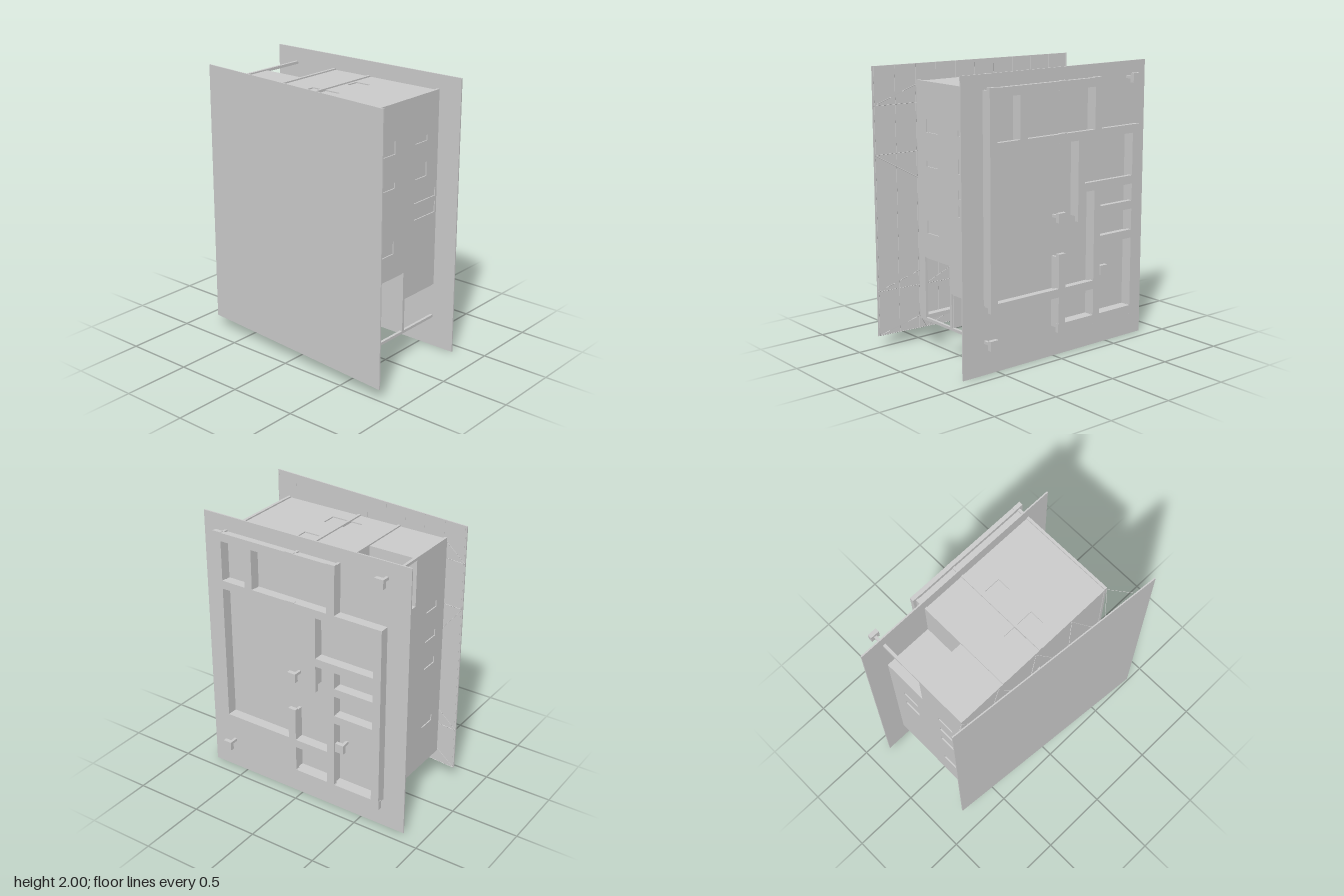
import * as THREE from 'three';

const T = 0.02;                       // wall thickness
const ROOF = -0.48, FLOOR = 0.31, MID = -0.06;

export function createModel() {
  const root = new THREE.Group();
  const mat = new THREE.MeshStandardMaterial({ color: 0xcccccc, flatShading: true, side: THREE.DoubleSide });
  const add = (name, geo) => {
    const m = new THREE.Mesh(geo, mat);
    m.name = name;
    root.add(m);
    return m;
  };
  // Box given by its extents
  const box = (name, x0, x1, y0, y1, z0, z1) => {
    const m = add(name, new THREE.BoxGeometry(x1 - x0, y1 - y0, z1 - z0));
    m.position.set((x0 + x1) / 2, (y0 + y1) / 2, (z0 + z1) / 2);
    return m;
  };
  const path = (P, a, b, c, d) => {
    const p = new P();
    p.moveTo(a, c); p.lineTo(b, c); p.lineTo(b, d); p.lineTo(a, d); p.closePath();
    return p;
  };
  // Wall with windows [centre, width, z centre, z size]; axis is its normal
  const wall = (name, axis, at, from, to, z0, z1, windows = []) => {
    const order = (u0, u1, v0, v1) => axis === 'x' ? [u0, u1, v0, v1] : [v0, v1, u0, u1];
    const shape = path(THREE.Shape, ...order(from, to, z0, z1));
    const X = new THREE.Vector3(1, 0, 0), Y = new THREE.Vector3(0, 1, 0), Z = new THREE.Vector3(0, 0, 1);
    const basis = new THREE.Matrix4();
    if (axis === 'x') basis.makeBasis(Y, Z, X); else basis.makeBasis(Z, X, Y);
    for (const [c, w, zc, h] of windows) {
      const r = [c - w / 2, c + w / 2, zc - h / 2, zc + h / 2];
      shape.holes.push(path(THREE.Path, ...order(...r)));
      const e = 0.002;
      if (axis === 'x') box('windowPane', at - e, at + e, ...r);
      else box('windowPane', r[0], r[1], at - e, at + e, r[2], r[3]);
    }
    const geo = new THREE.ExtrudeGeometry(shape, { depth: T, bevelEnabled: false });
    geo.translate(0, 0, -T / 2).applyMatrix4(basis);
    if (axis === 'x') geo.translate(at, 0, 0); else geo.translate(0, at, 0);
    return add(name, geo);
  };

  // Large slab behind
  box('backSlab', -0.845, 0.785, 0, 2, -0.41, -0.4);

  // Long outer walls
  const low = 0.14, high = -0.21, s = 0.13;
  wall('leftWall', 'x', 0.6, 0.68, 1.89, ROOF, FLOOR, [
    [1.6, 0.09, low, s], [1.34, 0.04, low, s], [0.9, 0.09, low, s],
    [1.59, 0.04, high, s], [1.37, 0.1, high, s], [1.18, 0.06, -0.265, 0.24], [1.07, 0.08, -0.265, 0.24]]);
  wall('leftWallLowerPart', 'x', 0.6, 0.48, 0.68, ROOF, -0.04);
  box('openingSill', 0.59, 0.61, 0.22, 0.68, 0.24, FLOOR);
  box('openingLintel', 0.59, 0.61, 0.22, 0.48, MID, -0.04);
  wall('rightWall', 'x', -0.67, 0.23, 1.55, ROOF, FLOOR, [
    ...[1.46, 1.24, 1.03, 0.56].map(y => [y, 0.05, low, s]),
    ...[1.24, 1.05].map(y => [y, 0.05, high, s])]);
  wall('rightWallUpperPart', 'x', -0.67, 1.55, 1.89, -0.07, FLOOR);

  // Top and bottom walls
  wall('topWall', 'y', 1.88, -0.3, 0.6, ROOF, FLOOR, [[0.03, 0.24, 0.14, 0.11], [0.1, 0.12, -0.17, 0.1]]);
  wall('topWallCorner', 'y', 1.88, -0.67, -0.3, -0.07, FLOOR);
  wall('bottomWall', 'y', 0.24, -0.67, 0.01, ROOF, FLOOR,
    [-0.11, -0.48].flatMap(x => [[x, 0.12, low, 0.11], [x, 0.12, high, 0.11]]));
  box('porchBeam', 0.01, 0.6, 0.22, 0.25, 0.26, FLOOR);

  // Inner floors
  box('middleFloor', -0.67, 0.6, 0.24, 1.88, MID - 0.01, -0.04);
  box('groundFloor', -0.67, 0.6, 0.68, 1.88, 0.29, FLOOR - 0.005);
  box('groundFloorCorner', -0.67, 0.01, 0.24, 0.68, 0.29, FLOOR - 0.005);
  wall('porchWall', 'y', 0.68, 0, 0.6, MID, FLOOR);

  // Room walls as [axis, at, from, to]; all carry a coping, some go only through the upper storey
  const rooms = [
    ['y', 1.54, -0.67, 0.6], ['x', -0.31, 1.54, 1.89], ['x', 0.35, 1.54, 1.89],
    ['x', -0.16, 0.98, 1.54], ['y', 1.18, -0.67, -0.16], ['x', -0.31, 0.23, 1.18],
    ['y', 1.0, -0.67, -0.31], ['y', 0.79, -0.67, -0.31],
    ['x', 0.01, 0.23, 0.72], ['y', 0.48, -0.31, 0.6]];
  for (const [axis, at, from, to] of rooms)
    wall('roomWall', axis, at, from, to, ROOF, axis === 'y' && at === 0.48 ? MID : FLOOR - 0.01);

  // Copings over every wall top
  const outer = [['x', 0.6, 0.48, 1.89], ['y', 1.89, -0.31, 0.6], ['x', -0.67, 0.23, 1.54], ['y', 0.23, -0.67, 0.01]];
  for (const [axis, at, from, to] of [...rooms, ...outer]) {
    const c = 0.03;
    if (axis === 'x') box('coping', at - c, at + c, from - c, to + c, -0.51, ROOF);
    else box('coping', from - c, to + c, at - c, at + c, -0.51, ROOF);
  }

  // Posts running the full depth, with caps
  const posts = [[-0.67, 1.89], [-0.31, 1.89], [0.01, 1.89], [0.6, 1.89], [0.01, 1.54], [0.01, 1.0],
    [-0.67, 0.23], [-0.31, 0.23], [0.01, 0.23], [0.6, 0.23], [-0.38, 0.57]];
  for (const [x, y] of posts) {
    box('post', x - 0.01, x + 0.01, y - 0.01, y + 0.01, ROOF, FLOOR);
    box('postCap', x - 0.033, x + 0.033, y - 0.033, y + 0.033, -0.51, ROOF);
  }

  // Slanted front slab
  const slopeZ = x => 0.36 + (x + 0.8) * 0.0854;
  const slab = add('frontSlab', new THREE.BoxGeometry(1.646, 1.905, 0.009));
  slab.position.set(0.02, 1.0375, slopeZ(0.02));
  slab.rotation.y = -Math.atan(0.0854);

  // Thin rods: grid behind the slab and struts to the house
  const rod = (name, a, b) => {
    const line = new THREE.LineCurve3(new THREE.Vector3(...a), new THREE.Vector3(...b));
    add(name, new THREE.TubeGeometry(line, 1, 0.0015, 4));
  };
  const back = (x, y) => [x, y, slopeZ(x) - 0.005];
  for (let i = 0; i <= 10; i++) {
    const x = -0.79 + i * 0.162;
    rod('slabRib', back(x, 0.087), back(x, 1.988));
  }
  const slabX = [-0.798, -0.52, -0.2, 0.13, 0.45, 0.835];
  const houseX = [-0.68, -0.36, -0.03, 0.29, 0.61];
  for (const [ys, yh] of [[1.72, 1.87], [1.38, 1.23], [0.41, 0.57], [0.087, 0.24]]) {
    rod('slabRail', back(-0.798, ys), back(0.835, ys));
    houseX.forEach((x, i) => {
      for (const k of [i, i + 1]) rod('strut', [x, yh, FLOOR], back(slabX[k], ys));
    });
  }
  return root;
}
